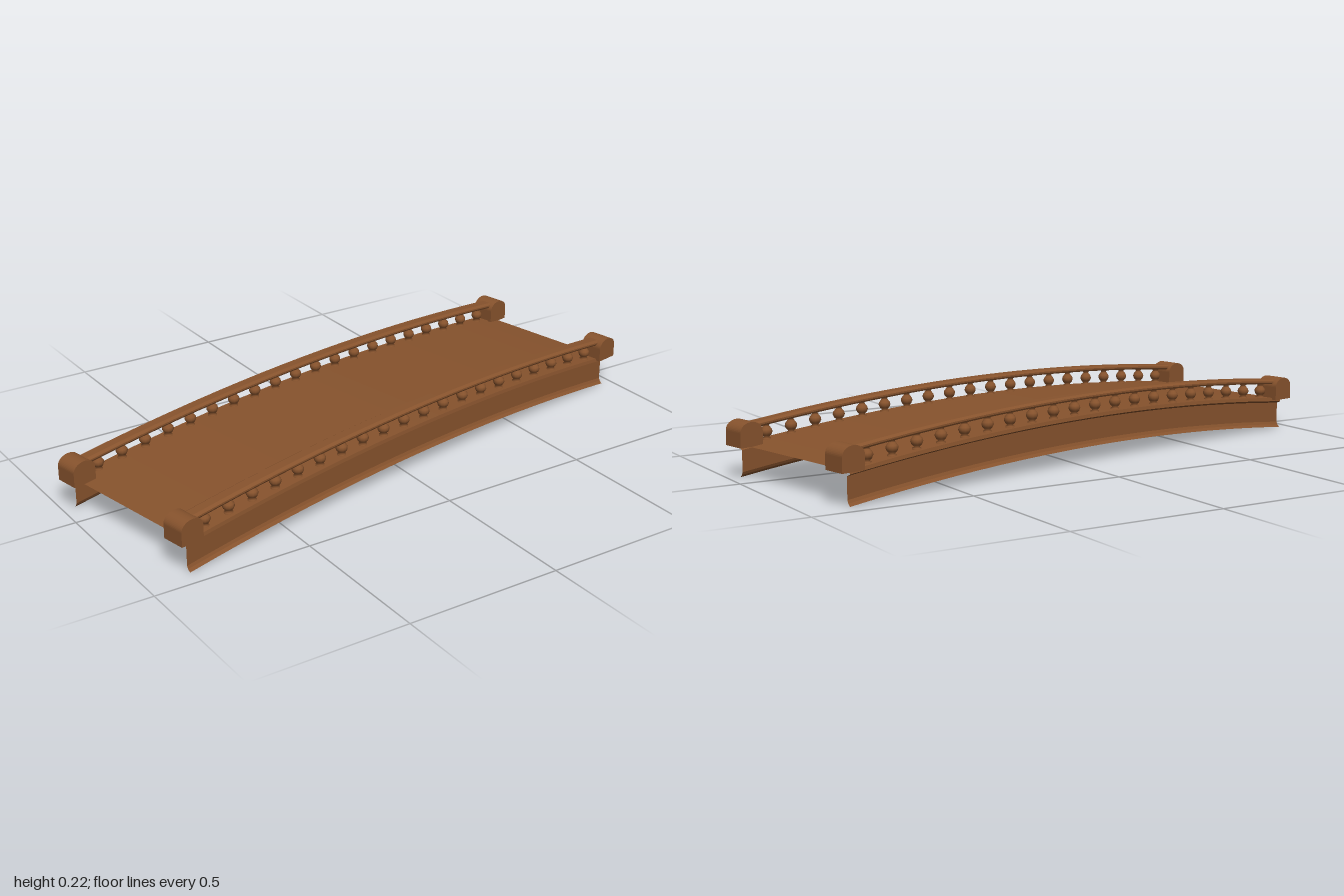
import * as THREE from 'three';

const HALF = 0.927; // half length of the span
const arc = (u) => 0.15 - 0.05 * (u / HALF) ** 2; // height of the deck along the span

// Sweep a cross-section of [across, up] points along the arched span.
function sweep(profile, half = HALF, steps = 20) {
  const pos = [];
  const at = (i, [v, dy]) => {
    const u = -half + (2 * half * i) / steps;
    return [u, arc(u) + dy, v];
  };
  for (let i = 0; i < steps; i++) {
    for (let j = 0; j < profile.length - 1; j++) {
      const a = at(i, profile[j]), b = at(i + 1, profile[j]);
      const c = at(i + 1, profile[j + 1]), d = at(i, profile[j + 1]);
      pos.push(...a, ...d, ...b, ...b, ...d, ...c);
    }
  }
  const g = new THREE.BufferGeometry();
  g.setAttribute('position', new THREE.Float32BufferAttribute(pos, 3));
  g.computeVertexNormals();
  return g;
}

// Block with a rounded top, extruded across the bridge.
function postGeometry() {
  const w = 0.039;
  const s = new THREE.Shape();
  s.moveTo(-w, 0);
  s.lineTo(w, 0);
  s.lineTo(w, 0.045);
  s.absellipse(0, 0.045, w, 0.03, 0, Math.PI, false);
  s.lineTo(-w, 0);
  const g = new THREE.ExtrudeGeometry(s, { depth: 0.078, bevelEnabled: false, curveSegments: 12 });
  g.translate(0, 0, -0.039);
  return g;
}

export function createModel() {
  const wood = new THREE.MeshStandardMaterial({ color: 0x87532d, side: THREE.DoubleSide });
  wood.name = 'brown wood';

  const bridge = new THREE.Group();
  bridge.name = 'bridge';
  const add = (name, geometry, x = 0, y = 0, z = 0) => {
    const m = new THREE.Mesh(geometry, wood);
    m.name = name;
    m.position.set(x, y, z);
    bridge.add(m);
  };

  // Thin arched walkway
  add('deck', sweep([[-0.26, 0], [0.26, 0]]));

  // Turned baluster profile, standing on the deck edge
  const balusterGeo = new THREE.LatheGeometry([
    [0.014, -0.003], [0.014, 0.005], [0.008, 0.008], [0.015, 0.015], [0.019, 0.024],
    [0.017, 0.032], [0.01, 0.041], [0.008, 0.045], [0.013, 0.048], [0.013, 0.054],
  ].map(([r, y]) => new THREE.Vector2(r, y)), 12);
  const postGeo = postGeometry();

  for (const s of [1, -1]) {
    const side = s > 0 ? 'front' : 'back';
    const mirror = (pts) => pts.map(([v, y]) => [s * v, y]);

    // Side beam with an overhanging top ledge and a flared foot
    add(side + 'Beam', sweep(mirror([
      [0.222, 0.002], [0.272, 0.002], [0.274, -0.009], [0.26, -0.016],
      [0.26, -0.083], [0.264, -0.092], [0.272, -0.1],
    ])));

    // Moulded handrail
    add(side + 'Handrail', sweep(mirror([
      [0.226, 0.05], [0.268, 0.05], [0.271, 0.055], [0.271, 0.06], [0.262, 0.066],
      [0.232, 0.066], [0.223, 0.06], [0.223, 0.055], [0.226, 0.05],
    ]), 0.905));

    // Evenly spaced balusters
    for (let k = 0; k < 20; k++) {
      const u = (k - 9.5) * 0.0893;
      add(side + 'Baluster', balusterGeo, u, arc(u), s * 0.247);
    }

    // End posts
    for (const e of [1, -1]) add(side + 'EndPost', postGeo, e * 0.924, 0.1, s * 0.249);
  }

  // The span lies at a slant across the frame
  bridge.rotation.y = 0.191;
  const model = new THREE.Group();
  model.name = 'footbridge';
  model.add(bridge);
  return model;
}
